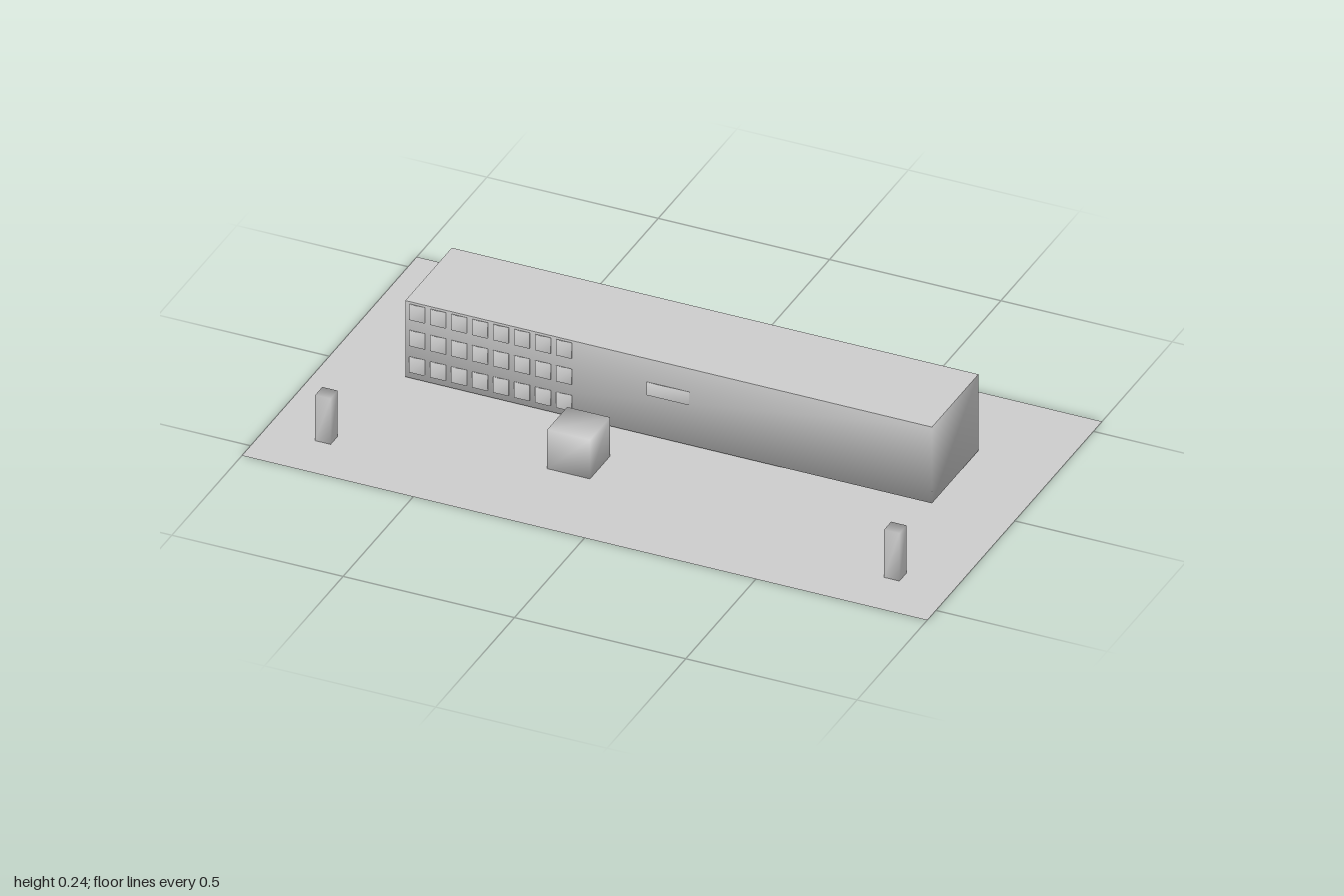
import * as THREE from 'three';
import { mergeVertices } from 'three/addons/utils/BufferGeometryUtils.js';

const grey = new THREE.MeshStandardMaterial({ color: 0xcccccc, side: THREE.DoubleSide });
grey.name = 'plain grey';

// Box between two corners, with normals shared around its corners
function softBox(name, [x0, y0, z0], [x1, y1, z1], openTop = false) {
  let g = new THREE.BoxGeometry(x1 - x0, y1 - y0, z1 - z0);
  g.translate((x0 + x1) / 2, (y0 + y1) / 2, (z0 + z1) / 2);
  if (openTop) {
    const index = Array.from(g.index.array);
    index.splice(12, 6);
    g.setIndex(index);
  }
  g.deleteAttribute('normal');
  g.deleteAttribute('uv');
  g.clearGroups();
  g = mergeVertices(g, 1e-5);
  g.computeVertexNormals();
  const mesh = new THREE.Mesh(g, grey);
  mesh.name = name;
  return mesh;
}

// Flat horizontal sheet facing up
function sheet(name, x0, x1, z0, z1, y) {
  const g = new THREE.PlaneGeometry(x1 - x0, z1 - z0).rotateX(-Math.PI / 2);
  g.translate((x0 + x1) / 2, y, (z0 + z1) / 2);
  const mesh = new THREE.Mesh(g, grey);
  mesh.name = name;
  return mesh;
}

export function createModel() {
  const model = new THREE.Group();
  model.name = 'longBuilding';

  // Plot of ground
  model.add(sheet('ground', -1, 1, -0.555, 0.555, 0));

  // Long hall with a flat roof
  model.add(softBox('buildingWalls', [-0.77, 0.005, -0.277], [0.767, 0.242, 0.018], true));
  model.add(sheet('roof', -0.77, 0.767, -0.277, 0.018, 0.242));

  // Three rows of eight windows on the front
  const windows = new THREE.Group();
  windows.name = 'windows';
  for (const y of [0.025, 0.107, 0.188]) {
    for (let i = 0; i < 8; i++) {
      const x = -0.757 + i * 0.0612;
      windows.add(softBox('window', [x, y, 0.016], [x + 0.045, y + 0.047, 0.023]));
    }
  }
  model.add(windows);

  // Blank sign panel
  model.add(softBox('signPanel', [-0.065, 0.131, 0.016], [0.06, 0.17, 0.022]));

  // Kiosk in the forecourt
  model.add(softBox('kiosk', [-0.237, 0, 0.15], [-0.112, 0.121, 0.277]));

  // Posts at the front corners
  model.add(softBox('rightPost', [-0.855, 0, 0.36], [-0.81, 0.142, 0.405]));
  model.add(softBox('leftPost', [0.805, 0, 0.36], [0.85, 0.148, 0.405]));

  return model;
}
